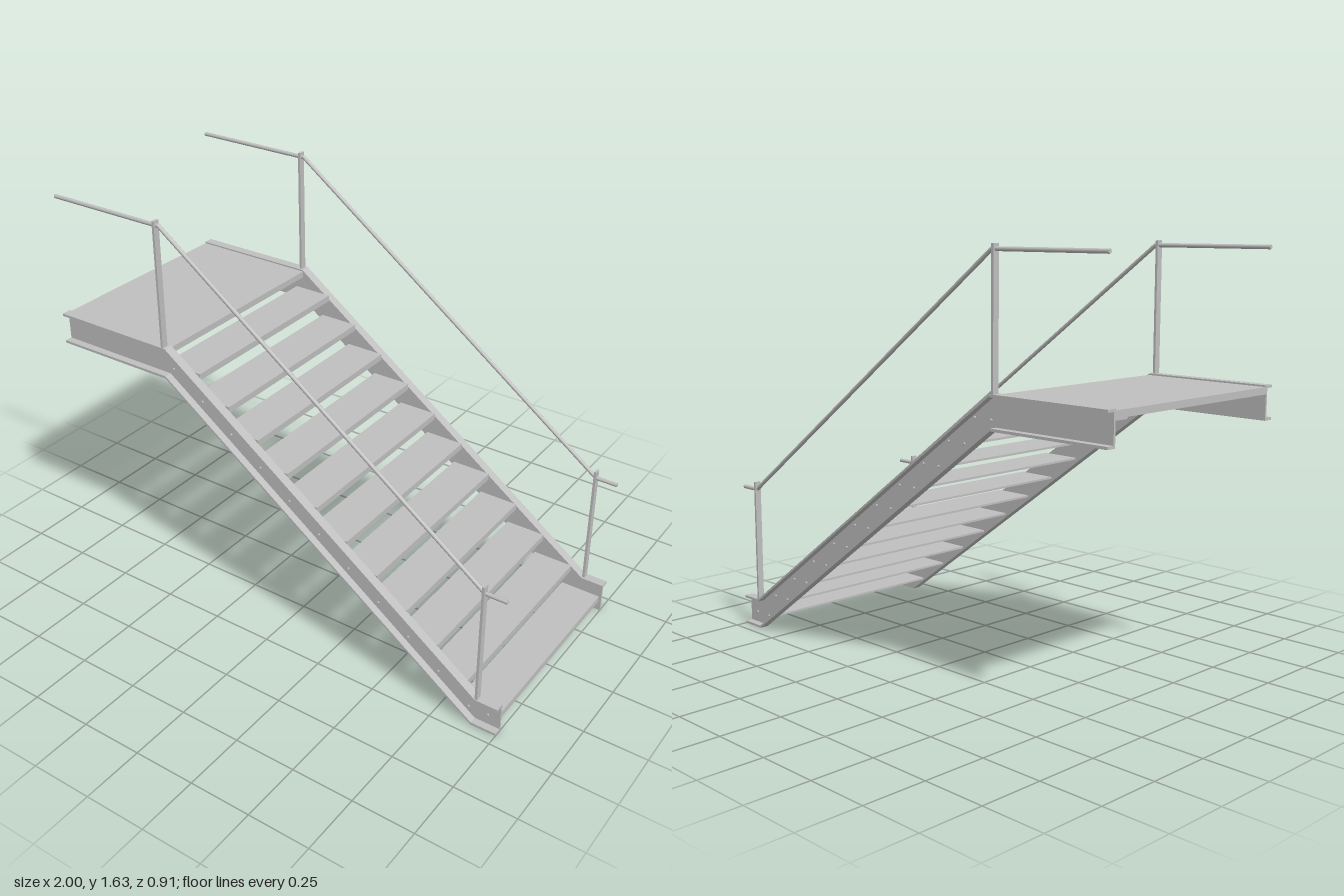
import * as THREE from 'three';

export function createModel() {
  const model = new THREE.Group();
  const steel = new THREE.MeshStandardMaterial({ color: 0xbfbfbf });
  steel.name = 'grey steel';

  const add = (parent, name, geometry, x = 0, y = 0, z = 0) => {
    const mesh = new THREE.Mesh(geometry, steel);
    mesh.name = name;
    mesh.position.set(x, y, z);
    parent.add(mesh);
    return mesh;
  };

  // Outline of the cranked stringer, as its upper and lower edges
  const upper = [[-1, 1.135], [-0.475, 1.135], [0.908, 0.131], [1, 0.131]];
  const lower = [[-1, 1.008], [-0.48, 1.008], [0.897, 0.008], [1, 0.008]];
  const shift = (pts, d) => pts.map(([x, y]) => [x, y + d]);

  // Plate between two polylines, spanning z0 to z1
  const plate = (a, b, z0, z1) => {
    const shape = new THREE.Shape([...b, ...[...a].reverse()].map(p => new THREE.Vector2(...p)));
    return new THREE.ExtrudeGeometry(shape, { depth: z1 - z0, bevelEnabled: false }).translate(0, 0, z0);
  };

  // Step spacing
  const steps = 11, run = 0.133, rise = 0.098, firstNose = 0.99, firstTop = 0.074;
  const railZ = 0.437;
  const railPath = [[-0.985, 1.62], [-0.475, 1.62], [0.912, 0.604], [1, 0.604]]
    .map(([x, y]) => new THREE.Vector3(x, y, 0));

  for (const s of [1, -1]) {
    const side = new THREE.Group();
    side.name = s > 0 ? 'leftSide' : 'rightSide';
    model.add(side);
    const span = (a, b) => (s > 0 ? [a, b] : [-b, -a]);

    // Channel stringer opening outward
    add(side, 'stringerWeb', plate(shift(upper, -0.005), shift(lower, 0.005), ...span(0.415, 0.423)));
    add(side, 'stringerTopFlange', plate(upper, shift(upper, -0.01), ...span(0.415, 0.453)));
    add(side, 'stringerBottomFlange', plate(shift(lower, 0.01), lower, ...span(0.415, 0.453)));

    // Flat posts
    for (const [x, base] of [[-0.49, 1.13], [0.91, 0.128]]) {
      add(side, 'post', new THREE.BoxGeometry(0.01, 0.508, 0.026), x, base + 0.254, s * railZ);
    }

    // Round handrail with ball elbows
    for (let i = 0; i < 3; i++) {
      const a = railPath[i], b = railPath[i + 1], dir = b.clone().sub(a);
      const rail = add(side, 'handrail', new THREE.CylinderGeometry(0.008, 0.008, dir.length(), 16),
        (a.x + b.x) / 2, (a.y + b.y) / 2, s * railZ);
      rail.quaternion.setFromUnitVectors(new THREE.Vector3(0, 1, 0), dir.normalize());
      if (i > 0) add(side, 'handrailElbow', new THREE.SphereGeometry(0.008, 16, 10), a.x, a.y, s * railZ);
    }

    // Two bolts through the web for each tread
    for (let i = 0; i < steps; i++) {
      for (const back of [0.04, 0.12]) {
        add(side, 'bolt', new THREE.CylinderGeometry(0.005, 0.005, 0.008, 8).rotateX(Math.PI / 2),
          firstNose - i * run - back, firstTop + i * rise - 0.012, s * 0.426);
      }
    }
  }

  // Folded plate: thin top with a turned-down lip at the front, and at the back if asked
  const pan = (name, nose, top, depth, backLip) => {
    const g = new THREE.Group();
    g.name = name;
    model.add(g);
    add(g, name + 'Plate', new THREE.BoxGeometry(depth, 0.008, 0.832), nose - depth / 2, top - 0.004, 0);
    const lips = backLip ? [nose - 0.005, nose - depth + 0.005] : [nose - 0.005];
    for (const x of lips) {
      add(g, name + 'Lip', new THREE.BoxGeometry(0.01, 0.018, 0.832), x, top - 0.017, 0);
    }
  };

  for (let i = 0; i < steps; i++) pan('tread', firstNose - i * run, firstTop + i * rise, 0.165, false);
  pan('landing', -0.472, 1.129, 0.528, true);

  return model;
}
